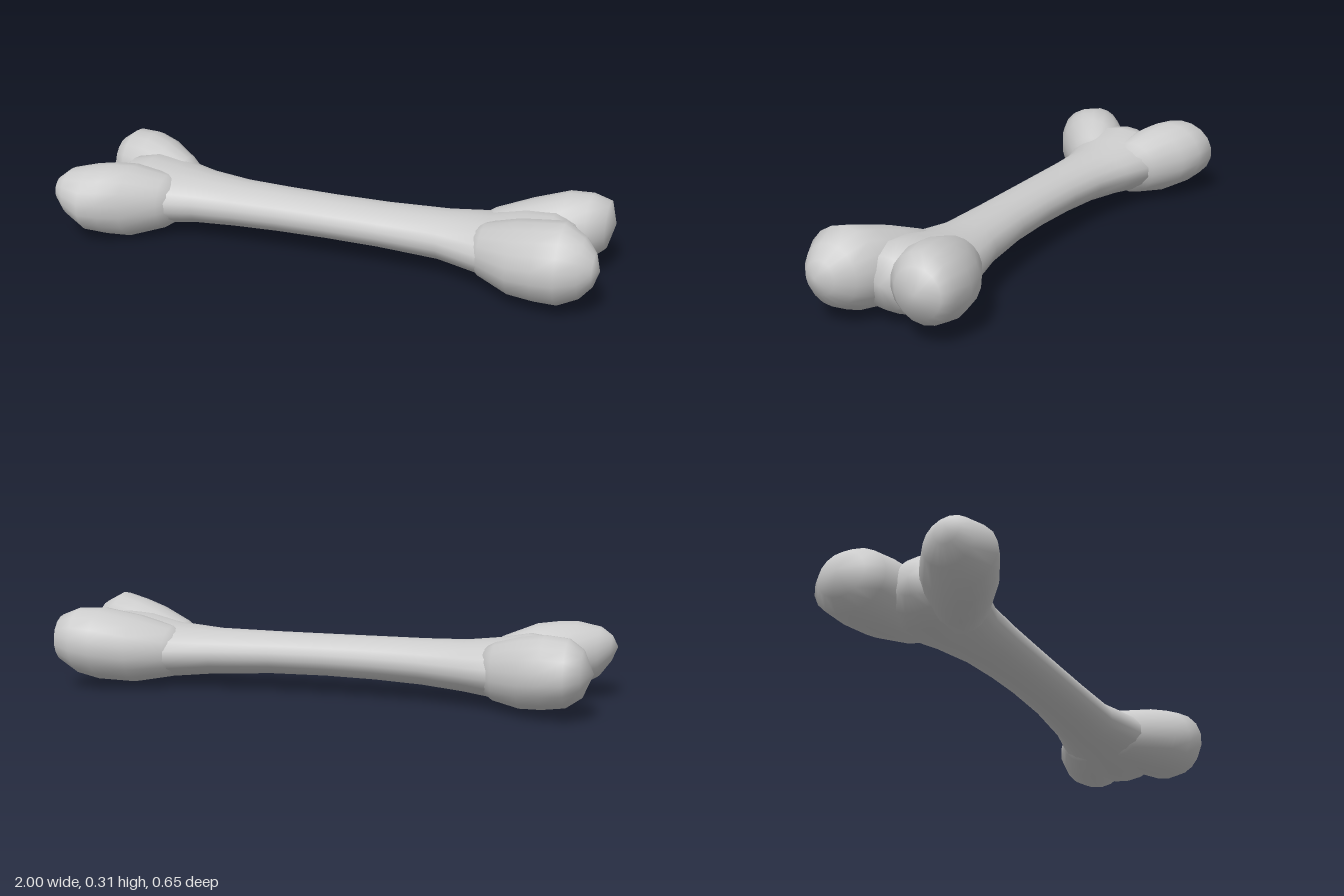
import * as THREE from 'three';
import { mergeVertices } from 'three/addons/utils/BufferGeometryUtils.js';

const SIDES = 18;

// Smooth closed loft through elliptical sections [x, y, z, radiusY, radiusZ], ordered by rising x
function loft(sections) {
  const rows = [...sections].sort((a, b) => a[0] - b[0]);
  const pos = [], index = [];
  rows.forEach(([x, y, z, ry, rz], i) => {
    for (let j = 0; j < SIDES; j++) {
      const a = (j / SIDES) * Math.PI * 2;
      pos.push(x, y + ry * Math.cos(a), z + rz * Math.sin(a));
      if (i === rows.length - 1) continue;
      const p = i * SIDES + j, q = i * SIDES + (j + 1) % SIDES;
      if (ry > 0) index.push(p, q, p + SIDES);
      if (rows[i + 1][3] > 0) index.push(q, q + SIDES, p + SIDES);
    }
  });
  let geo = new THREE.BufferGeometry();
  geo.setAttribute('position', new THREE.Float32BufferAttribute(pos, 3));
  geo.setIndex(index);
  geo = mergeVertices(geo, 1e-5); // weld the pole points
  geo.computeVertexNormals();
  return geo;
}

const parts = {
  // slim middle, flaring into a flat web between the knobs
  shaft: [
    [-0.85, 0.14, 0, 0, 0], [-0.83, 0.14, 0, 0.06, 0.06], [-0.79, 0.14, 0, 0.1, 0.13],
    [-0.72, 0.132, -0.005, 0.117, 0.185], [-0.62, 0.128, -0.015, 0.103, 0.178],
    [-0.5, 0.128, -0.008, 0.089, 0.138], [-0.35, 0.131, 0.005, 0.081, 0.115],
    [-0.18, 0.134, 0.01, 0.077, 0.106], [0, 0.135, 0.012, 0.075, 0.103],
    [0.2, 0.134, 0.01, 0.076, 0.106], [0.42, 0.13, 0.002, 0.083, 0.121],
    [0.58, 0.127, 0.008, 0.097, 0.168], [0.7, 0.133, 0.012, 0.12, 0.2],
    [0.8, 0.138, 0.015, 0.122, 0.16], [0.87, 0.145, 0.015, 0.09, 0.09], [0.905, 0.15, 0.015, 0, 0],
  ],
  leftFrontKnob: [
    [0.42, 0.13, 0.03, 0, 0], [0.58, 0.13, 0.075, 0.093, 0.102], [0.7, 0.14, 0.115, 0.126, 0.15],
    [0.79, 0.153, 0.145, 0.137, 0.147], [0.87, 0.166, 0.165, 0.141, 0.145],
    [0.94, 0.165, 0.172, 0.105, 0.1], [0.98, 0.167, 0.182, 0.058, 0.055], [1, 0.17, 0.19, 0, 0],
  ],
  leftBackKnob: [
    [0.42, 0.13, -0.03, 0, 0], [0.58, 0.13, -0.06, 0.093, 0.1], [0.7, 0.14, -0.09, 0.122, 0.14],
    [0.82, 0.16, -0.13, 0.131, 0.14], [0.9, 0.17, -0.145, 0.12, 0.12],
    [0.96, 0.18, -0.165, 0.085, 0.085], [0.985, 0.185, -0.17, 0, 0],
  ],
  rightBackKnob: [
    [-0.45, 0.13, -0.04, 0, 0], [-0.62, 0.13, -0.1, 0.1, 0.1], [-0.72, 0.14, -0.145, 0.122, 0.135],
    [-0.8, 0.15, -0.175, 0.125, 0.14], [-0.88, 0.155, -0.195, 0.115, 0.135],
    [-0.93, 0.155, -0.195, 0.08, 0.088], [-0.965, 0.155, -0.19, 0, 0],
  ],
  rightFrontKnob: [
    [-0.45, 0.13, 0.03, 0, 0], [-0.62, 0.125, 0.075, 0.1, 0.1], [-0.73, 0.133, 0.125, 0.133, 0.135],
    [-0.8, 0.142, 0.157, 0.13, 0.143], [-0.86, 0.15, 0.185, 0.12, 0.14],
    [-0.94, 0.165, 0.197, 0.088, 0.092], [-0.98, 0.176, 0.212, 0.045, 0.045], [-1, 0.18, 0.22, 0, 0],
  ],
};

export function createModel() {
  const group = new THREE.Group();
  group.name = 'bone';
  const boneGrey = new THREE.MeshStandardMaterial({ color: 0xcccccc });
  boneGrey.name = 'boneGrey';
  for (const [name, sections] of Object.entries(parts)) {
    const mesh = new THREE.Mesh(loft(sections), boneGrey);
    mesh.name = name;
    group.add(mesh);
  }
  return group;
}
